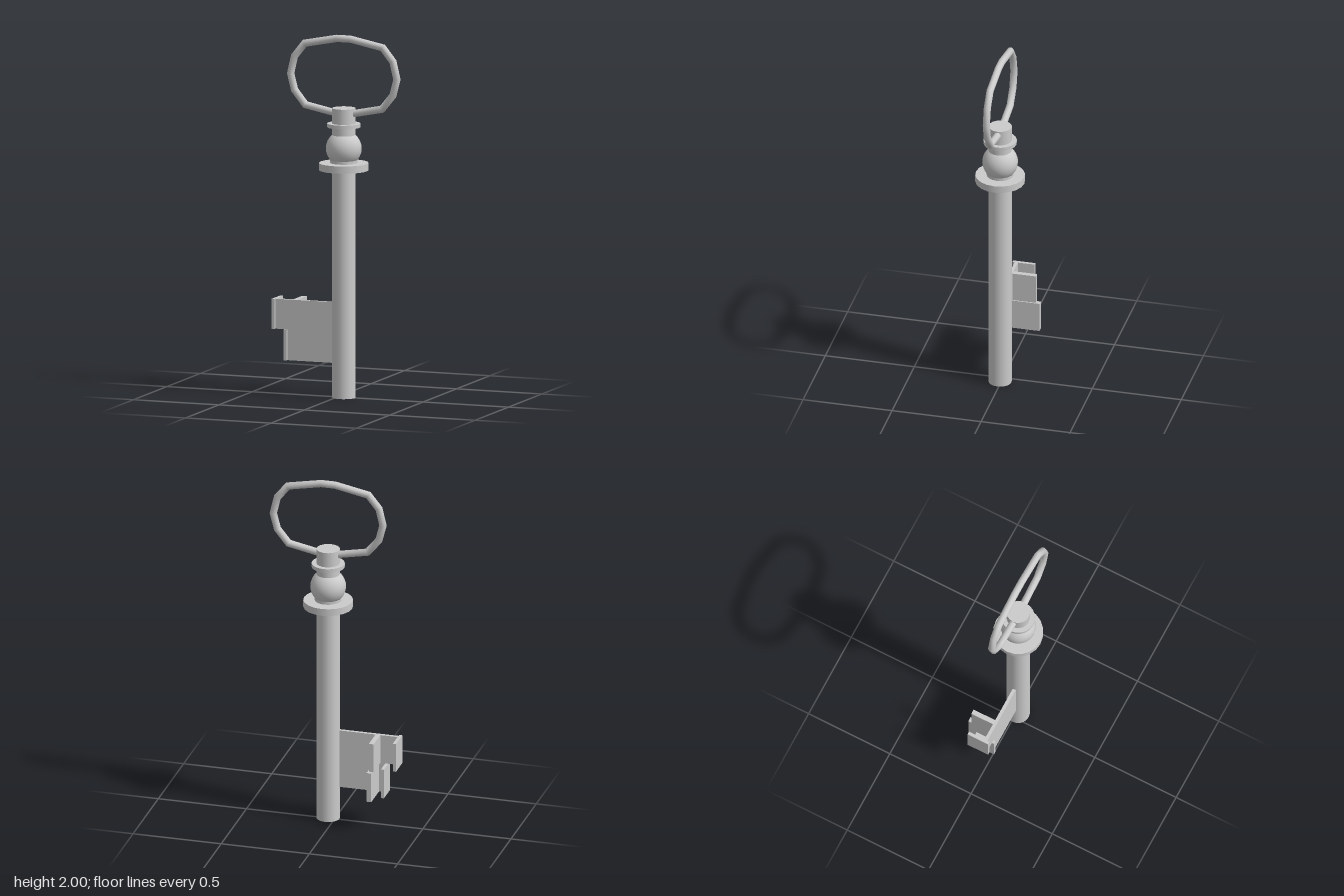
import * as THREE from 'three';

const CX = 0.039, CZ = 0.008;

export function createModel() {
  const key = new THREE.Group();
  key.name = 'key';
  const material = new THREE.MeshStandardMaterial({ color: 0xcccccc });

  const add = (name, geometry, x = 0, y = 0, z = 0) => {
    const mesh = new THREE.Mesh(geometry, material);
    mesh.name = name;
    mesh.position.set(x, y, z);
    key.add(mesh);
  };
  // Disc or rod around the shaft axis, between two heights
  const turned = (name, r, y0, y1) =>
    add(name, new THREE.CylinderGeometry(r, r, y1 - y0, 20), CX, (y0 + y1) / 2, CZ);
  // Box given by its limits
  const block = (name, x0, x1, y0, y1, z0, z1) =>
    add(name, new THREE.BoxGeometry(x1 - x0, y1 - y0, z1 - z0), (x0 + x1) / 2, (y0 + y1) / 2, (z0 + z1) / 2);

  // Shaft with its turned ornaments
  turned('shaft', 0.064, 0, 1.597);
  turned('flange', 0.136, 1.255, 1.295);
  turned('neckRing', 0.074, 1.295, 1.316);
  turned('collar', 0.091, 1.492, 1.513);
  add('ball', new THREE.SphereGeometry(0.098, 20, 14), CX, 1.375, CZ);

  // Bow: a round bar following a faceted loop, mirrored about the shaft
  const half = [[0.04, 1.979], [0.228, 1.942], [0.288, 1.868], [0.311, 1.772],
    [0.288, 1.682], [0.224, 1.603], [0.04, 1.566]];
  const loop = [...half, ...half.map(([x, y]) => [-x, y]).reverse()];
  const n = loop.length, sides = 12, r = 0.02;
  const positions = [], index = [];
  for (let i = 0; i < n; i++) {
    const p = new THREE.Vector2(...loop[i]);
    const before = p.clone().sub(new THREE.Vector2(...loop[(i + n - 1) % n])).normalize();
    const after = new THREE.Vector2(...loop[(i + 1) % n]).sub(p).normalize();
    const t = before.clone().add(after).normalize();
    const miter = r / t.dot(after);
    for (let j = 0; j < sides; j++) {
      const a = j / sides * Math.PI * 2;
      const out = Math.cos(a) * miter;
      positions.push(p.x - t.y * out, p.y + t.x * out, Math.sin(a) * r);
      const k = (j + 1) % sides, m = ((i + 1) % n) * sides, b = i * sides;
      index.push(b + j, b + k, m + j, b + k, m + k, m + j);
    }
  }
  const bow = new THREE.BufferGeometry();
  bow.setAttribute('position', new THREE.Float32BufferAttribute(positions, 3));
  bow.setIndex(index);
  bow.computeVertexNormals();
  add('bow', bow, CX, 0, CZ);

  // Stepped plate of the bit
  const plate = new THREE.Shape([[0.03, 0.19], [0.03, 0.525], [-0.365, 0.525],
    [-0.365, 0.36], [-0.295, 0.36], [-0.295, 0.19]].map(([x, y]) => new THREE.Vector2(x, y)));
  add('bitPlate', new THREE.ExtrudeGeometry(plate, { depth: 0.018, bevelEnabled: false }), 0, 0, 0.007);

  // Wards standing behind the plate
  block('upperEndWard', -0.373, -0.355, 0.36, 0.525, -0.088, 0.038);
  block('lowerEndWard', -0.302, -0.285, 0.19, 0.36, -0.079, 0.037);
  block('upperInnerWard', -0.257, -0.23, 0.36, 0.525, -0.126, 0.01);
  block('lowerInnerWard', -0.25, -0.223, 0.19, 0.36, -0.148, 0.01);

  return key;
}
